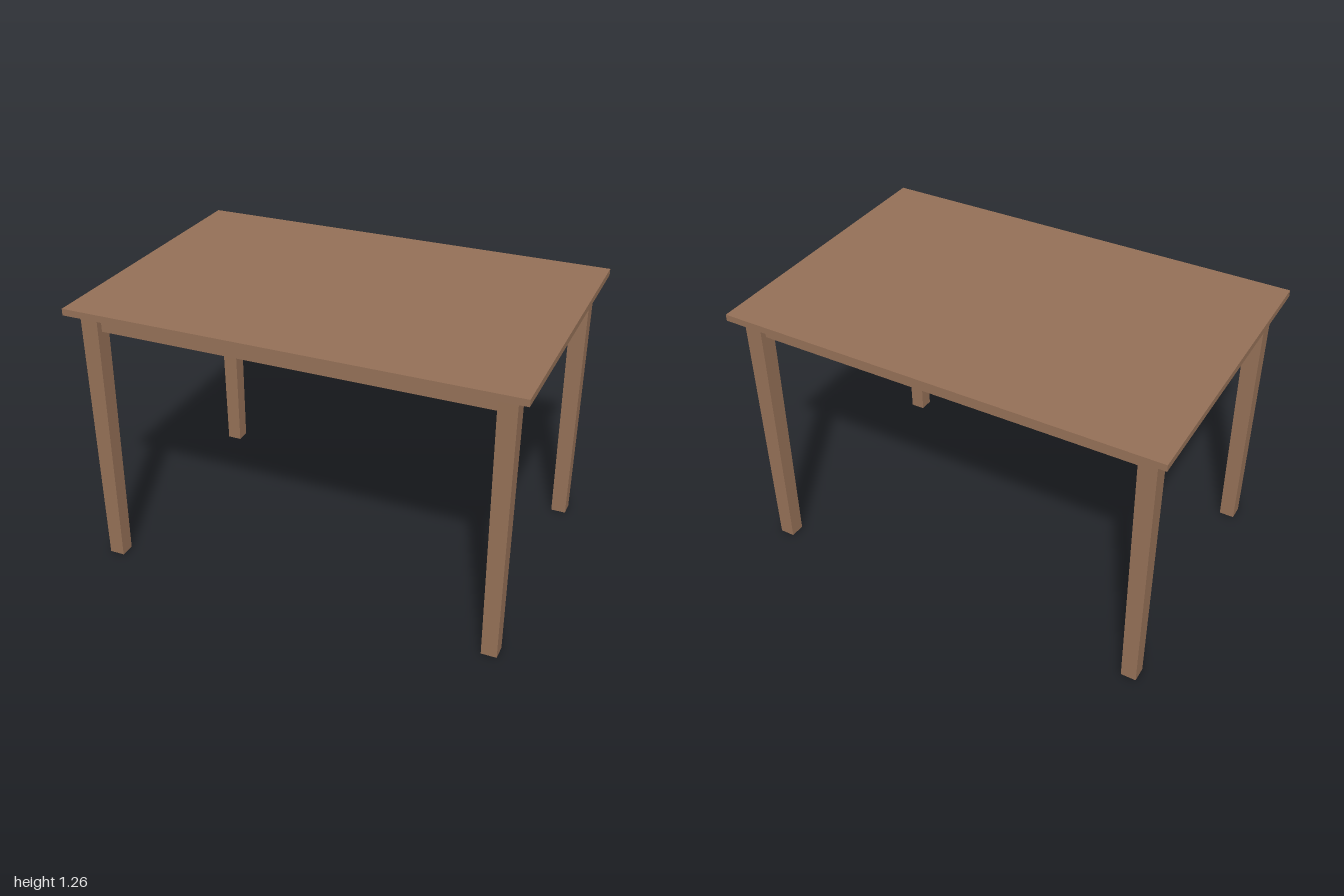
import * as THREE from 'three';

const TOP_UNDERSIDE = 1.226;
const LEG_X = 0.908, LEG_Z = 0.581;

// Square leg, slightly narrower at the foot
function legGeometry(topWidth, footWidth, height) {
  const geo = new THREE.BoxGeometry(topWidth, height, topWidth);
  geo.translate(0, height / 2, 0);
  const p = geo.attributes.position;
  for (let i = 0; i < p.count; i++) {
    if (p.getY(i) < height / 2) {
      p.setX(i, Math.sign(p.getX(i)) * footWidth / 2);
      p.setZ(i, Math.sign(p.getZ(i)) * footWidth / 2);
    }
  }
  geo.computeVertexNormals();
  return geo;
}

export function createModel() {
  const table = new THREE.Group();
  table.name = 'table';
  const wood = new THREE.MeshStandardMaterial({ color: 0x936f56 });
  wood.name = 'brown wood';

  const add = (name, geo, x, y, z) => {
    const mesh = new THREE.Mesh(geo, wood);
    mesh.name = name;
    mesh.position.set(x, y, z);
    table.add(mesh);
  };

  // Table top
  add('tableTop', new THREE.BoxGeometry(2, 0.03, 1.34), 0, TOP_UNDERSIDE + 0.015, 0);

  // Four tapered legs
  const leg = legGeometry(0.08, 0.069, TOP_UNDERSIDE);
  for (const x of [1, -1]) {
    for (const z of [1, -1]) {
      add((z > 0 ? 'front' : 'back') + (x > 0 ? 'Left' : 'Right') + 'Leg', leg, x * LEG_X, 0, z * LEG_Z);
    }
  }

  // Aprons between the legs, leaving a small gap below the top
  const longApron = new THREE.BoxGeometry(1.73, 0.074, 0.03);
  const shortApron = new THREE.BoxGeometry(0.03, 0.074, 1.078);
  for (const s of [1, -1]) {
    add(s > 0 ? 'frontApron' : 'backApron', longApron, 0, 1.181, s * LEG_Z);
    add(s > 0 ? 'leftApron' : 'rightApron', shortApron, s * LEG_X, 1.181, 0);
  }
  return table;
}
